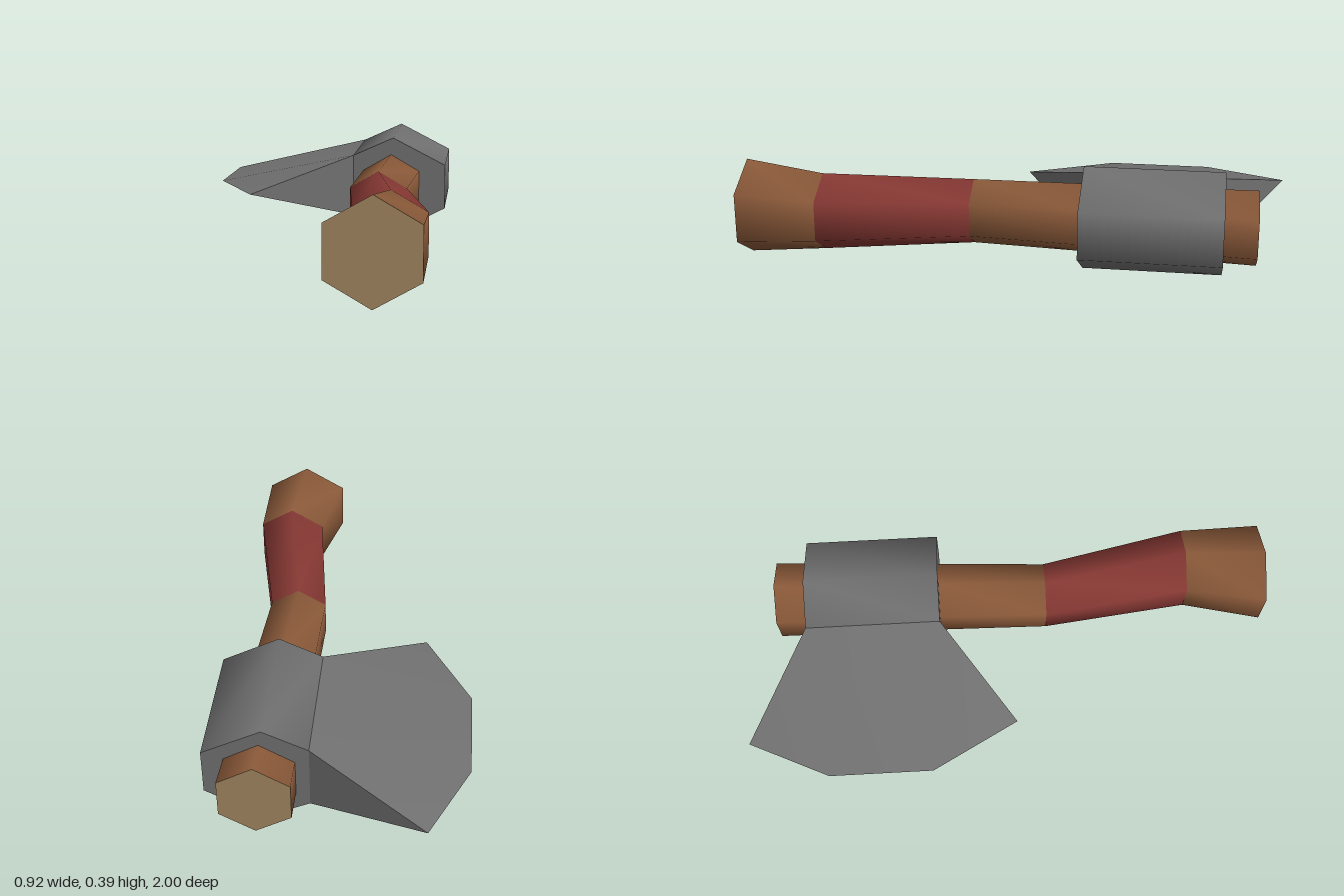
import * as THREE from 'three';

const mat = (name, color) => {
  const m = new THREE.MeshStandardMaterial({ color });
  m.name = name;
  return m;
};

// Builds one smooth patch from points and triangle corners
function patch(name, material, points, index) {
  const g = new THREE.BufferGeometry();
  g.setAttribute('position', new THREE.Float32BufferAttribute(points.flat(), 3));
  g.setIndex(index);
  g.computeVertexNormals();
  const mesh = new THREE.Mesh(g, material);
  mesh.name = name;
  return mesh;
}

// Skin between two rings (counterclockwise from the front), back ring first
function sleeve(name, material, back, front) {
  const n = back.length, index = [];
  for (let i = 0; i < n; i++) {
    const j = (i + 1) % n;
    index.push(i, j, n + j, i, n + j, n + i);
  }
  return patch(name, material, [...back, ...front], index);
}

// Flat end face on a ring
function cap(name, material, ring, facesFront) {
  const index = [];
  for (let i = 1; i < ring.length - 1; i++) {
    index.push(0, ...(facesFront ? [i, i + 1] : [i + 1, i]));
  }
  return patch(name, material, ring, index);
}

// Six-sided section with corners at top and bottom
function hexRing(z, x0, x1, y0, y1) {
  return Array.from({ length: 6 }, (_, i) => {
    const a = Math.PI / 6 + i * Math.PI / 3;
    return [
      (x0 + x1) / 2 + (x1 - x0) / 2 * Math.cos(a) / Math.cos(Math.PI / 6),
      (y0 + y1) / 2 + (y1 - y0) / 2 * Math.sin(a),
      z,
    ];
  });
}

export function createModel() {
  const wood = mat('wood', 0x8a5939);
  const endGrain = mat('end grain', 0xa08560);
  const red = mat('red grip', 0x863833);
  const steel = mat('steel', 0x707070);

  const axe = new THREE.Group();
  axe.name = 'axe';

  // Curved handle with a red grip and pale sawn ends
  const handle = new THREE.Group();
  handle.name = 'handle';
  const rings = [
    hexRing(-0.89, 0.14, 0.39, 0.05, 0.335),
    hexRing(-0.26, 0.13, 0.355, 0.063, 0.325),
    hexRing(0.15, 0.12, 0.332, 0.07, 0.318),
    hexRing(0.70, 0.185, 0.44, 0.048, 0.342),
    hexRing(1.0, 0.122, 0.438, 0.01, 0.375),
  ];
  const sections = [['handleTop', wood], ['handleNeck', wood], ['grip', red], ['handleKnob', wood]];
  sections.forEach(([name, m], i) => handle.add(sleeve(name, m, rings[i], rings[i + 1])));
  handle.add(cap('topEnd', endGrain, rings[0], false), cap('knobEnd', endGrain, rings[4], true));
  axe.add(handle);

  // Collar around the handle
  const head = new THREE.Group();
  head.name = 'head';
  const zBack = -0.77, zFront = -0.26;
  const profile = [[0.46, 0.11], [0.46, 0.285], [0.25, 0.393], [0.09, 0.32], [0.09, 0.075], [0.25, 0.0]];
  const [back, front] = [zBack, zFront].map(z => profile.map(([x, y]) => [x, y, z]));
  head.add(
    sleeve('collar', steel, back, front),
    cap('collarBack', steel, back, false),
    cap('collarFront', steel, front, true),
  );

  // Blade: wedge from the collar to a flared cutting edge
  const edge = [[-0.32, 0.197, -1], [-0.46, 0.197, -0.7], [-0.46, 0.197, -0.31], [-0.285, 0.197, 0.015]];
  const cheek = [0, 1, 2, 0, 2, 3, 0, 3, 5, 5, 3, 4];
  head.add(
    patch('bladeTop', steel, [back[3], ...edge, front[3]], cheek),
    patch('bladeBottom', steel, [back[4], ...edge, front[4]], [...cheek].reverse()),
    patch('bladeFront', steel, [front[3], edge[3], front[4]], [0, 1, 2]),
    patch('bladeBack', steel, [back[3], back[4], edge[0]], [0, 1, 2]),
  );
  axe.add(head);

  return axe;
}
